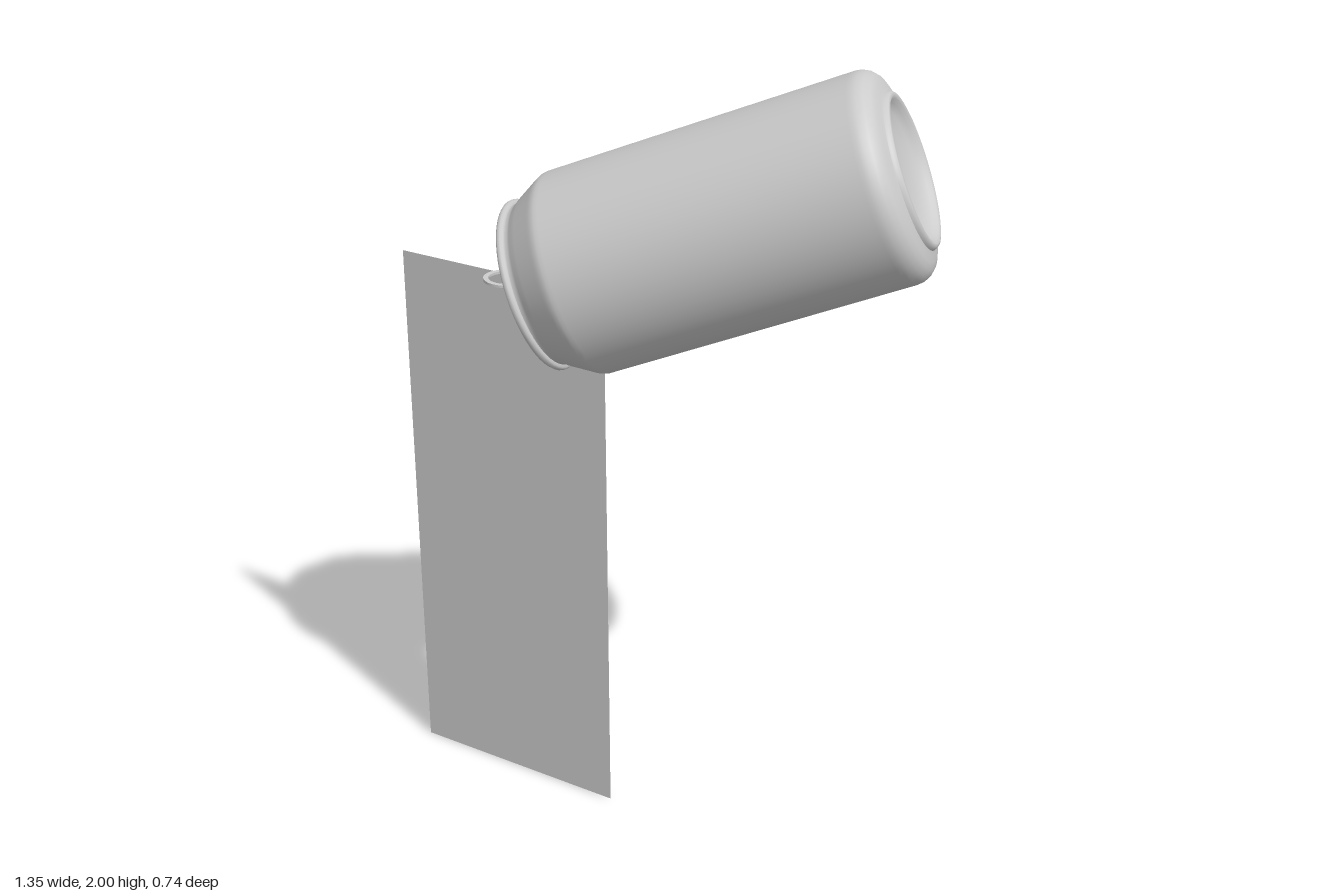
import * as THREE from 'three';

const grey = new THREE.MeshStandardMaterial({ color: 0xcccccc, side: THREE.DoubleSide });
grey.name = 'light grey metal';

function part(name, geometry, parent) {
  const mesh = new THREE.Mesh(geometry, grey);
  mesh.name = name;
  parent.add(mesh);
  return mesh;
}

const lathe = (points) =>
  new THREE.LatheGeometry(points.map(([r, y]) => new THREE.Vector2(r, y)), 56);

function ellipse(cx, cy, rx, ry, Type = THREE.Path) {
  return new Type().absellipse(cx, cy, rx, ry, 0, Math.PI * 2, false);
}

export function createModel() {
  const model = new THREE.Group();
  model.name = 'pouringCan';

  // The can leans over: local y points out of the lid, local z to the mouth
  const can = new THREE.Group();
  can.name = 'can';
  const up = new THREE.Vector3(-0.874, -0.363, 0.323).normalize();
  const mouthDir = new THREE.Vector3(0, -1, 0).addScaledVector(up, up.y).normalize();
  mouthDir.set(0, -1, 0).addScaledVector(up, -up.dot(new THREE.Vector3(0, -1, 0))).normalize();
  const side = new THREE.Vector3().crossVectors(up, mouthDir);
  can.quaternion.setFromRotationMatrix(new THREE.Matrix4().makeBasis(side, up, mouthDir));
  can.position.set(0, 1.5425, 0.065);
  model.add(can);

  // Domed base inside the foot ring
  part('base', lathe([
    [0, -0.625], [0.06, -0.627], [0.11, -0.633], [0.145, -0.643], [0.16, -0.655],
    [0.168, -0.664], [0.176, -0.668], [0.183, -0.666], [0.187, -0.66], [0.189, -0.655],
  ]), can);

  // Lower shoulder, straight wall and tapered neck
  part('body', lathe([
    [0.189, -0.655], [0.198, -0.652], [0.215, -0.648], [0.232, -0.641], [0.245, -0.628],
    [0.252, -0.613], [0.254, -0.6], [0.254, -0.59], [0.254, 0.17], [0.254, 0.18],
    [0.252, 0.189], [0.248, 0.198], [0.244, 0.205], [0.22, 0.249], [0.215, 0.258],
    [0.208, 0.268], [0.204, 0.275], [0.204, 0.282],
  ]), can);

  // Rolled rim and the channel inside it
  part('rim', lathe([
    [0.204, 0.282], [0.211, 0.283], [0.215, 0.288], [0.215, 0.295], [0.211, 0.3],
    [0.205, 0.301], [0.2, 0.297], [0.198, 0.288], [0.195, 0.265], [0.191, 0.259],
    [0.185, 0.259], [0.18, 0.264], [0.178, 0.272],
  ]), can);

  // Lid panel with an open mouth
  const lidShape = ellipse(0, 0, 0.178, 0.178, THREE.Shape);
  lidShape.holes.push(ellipse(0, -0.092, 0.108, 0.08));
  const lid = part('lid', new THREE.ShapeGeometry(lidShape, 28), can);
  lid.rotation.x = -Math.PI / 2;
  lid.position.y = 0.272;

  // Flap pushed inward from the mouth's inner edge
  const flapShape = ellipse(0, -0.08, 0.1, 0.08, THREE.Shape);
  const flap = part('mouthFlap', new THREE.ShapeGeometry(flapShape, 20), can);
  flap.position.set(0, 0.272, 0.014);
  flap.rotation.x = -0.15;

  // Lifted pull tab with a finger ring and a slot
  const tabShape = new THREE.Shape();
  tabShape.moveTo(-0.03, -0.03);
  tabShape.quadraticCurveTo(0, -0.045, 0.03, -0.03);
  tabShape.lineTo(0.055, 0.09);
  tabShape.absarc(0, 0.1, 0.055, -0.15, Math.PI + 0.15, false);
  tabShape.closePath();
  tabShape.holes.push(ellipse(0, 0.1, 0.042, 0.043), ellipse(0, 0.026, 0.022, 0.013));
  const tabGeometry = new THREE.ExtrudeGeometry(tabShape, {
    depth: 0.006, bevelEnabled: false, curveSegments: 20,
  });
  tabGeometry.translate(0, 0, -0.003);
  const tab = part('pullTab', tabGeometry, can);
  tab.position.set(0, 0.276, 0);
  tab.rotation.x = -0.4;

  const rivet = part('rivet', new THREE.CylinderGeometry(0.014, 0.018, 0.01, 20), can);
  rivet.position.set(0, 0.276, -0.026);

  // Flat upright sheet falling from the mouth
  const stream = part('pouredSheet', new THREE.PlaneGeometry(0.608, 1.445), model);
  stream.position.set(-0.372, 0.7225, 0.16);

  return model;
}
